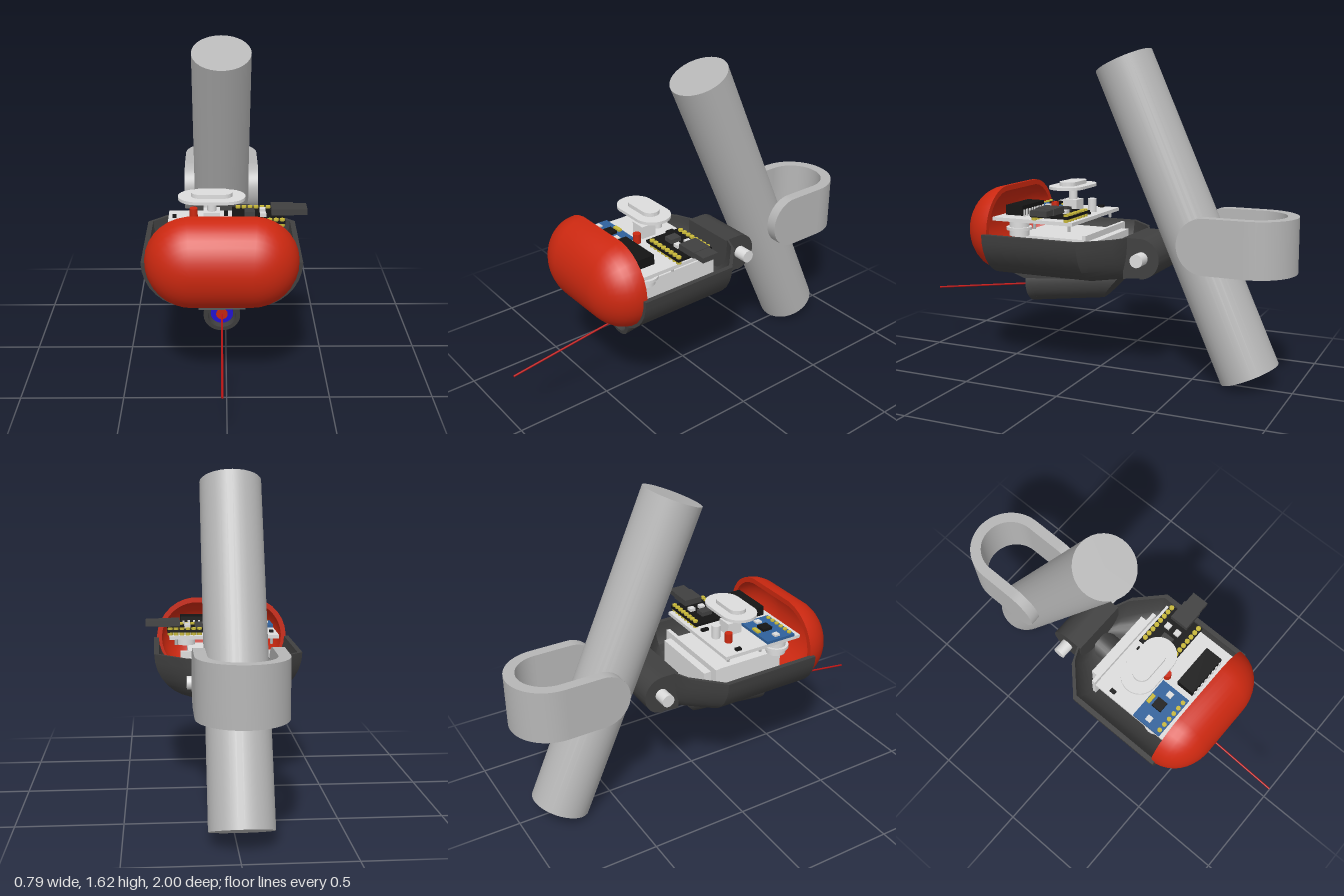
import * as THREE from 'three';
import { toCreasedNormals } from 'three/addons/utils/BufferGeometryUtils.js';

const CX = -0.022; // centre line of the device

const paint = (name, color) => Object.assign(new THREE.MeshStandardMaterial({ color }), { name });

// Skin equal-length loops of points, listed front to back; capPairs closes a trough's two ends
function loft(loops, capTrough = false) {
  const n = loops[0].length, index = [];
  for (let s = 0; s < loops.length - 1; s++) {
    for (let i = 0; i < n; i++) {
      const a = s * n + i, b = s * n + (i + 1) % n, c = b + n, d = a + n;
      index.push(a, d, c, a, c, b);
    }
  }
  if (capTrough) {
    const last = (loops.length - 1) * n;
    for (let i = 0; i < n / 2 - 1; i++) {
      const a = i, b = i + 1, c = n - 2 - i, d = n - 1 - i;
      index.push(a, b, c, a, c, d);
      index.push(last + a, last + c, last + b, last + a, last + d, last + c);
    }
  }
  const g = new THREE.BufferGeometry();
  g.setAttribute('position', new THREE.Float32BufferAttribute(loops.flat(2), 3));
  g.setIndex(index);
  return toCreasedNormals(g, 0.6);
}

// Full stadium outline around the centre line
function stadium(r, z, core = 0.1375, y = 0.72) {
  const pts = [];
  for (let i = 0; i < 32; i++) {
    const a = -Math.PI / 2 + ((i + 0.001) / 31) * Math.PI * 2;
    const side = i < 16 ? 1 : -1;
    pts.push([CX + side * core + r * Math.cos(a), y + r * Math.sin(a), z]);
  }
  return pts;
}

// Open trough section: outer wall left to right, inner wall back again
function trough(w, bottom, z) {
  const arc = (hw, yb) => {
    const pts = [], h = 0.72 - yb, r = Math.min(0.22, hw * 0.7);
    for (const side of [-1, 1]) {
      for (let i = 0; i <= 8; i++) {
        const a = (side < 0 ? i : 8 - i) / 8 * Math.PI / 2;
        pts.push([CX + side * (hw - r + r * Math.cos(a)), 0.72 - h * Math.sin(a), z]);
      }
    }
    return pts;
  };
  return [...arc(w, bottom), ...arc(w - 0.025, bottom + 0.025).reverse()];
}

export function createModel() {
  const root = new THREE.Group();
  root.name = 'poleMountedDevice';
  const grey = paint('grey', 0xb6b6b6), light = paint('lightGrey', 0xdcdcdc);
  const dark = paint('charcoal', 0x404040), black = paint('black', 0x141414);
  const red = paint('red', 0xcc2810), blue = paint('blue', 0x2414d8);
  const boardBlue = paint('boardBlue', 0x2f619c), yellow = paint('yellow', 0xc8b838);
  const beamRed = paint('beamRed', 0xb81414);
  dark.side = THREE.DoubleSide;

  const add = (name, geo, mat, parent = root) => {
    const m = new THREE.Mesh(geo, mat);
    m.name = name;
    parent.add(m);
    return m;
  };
  const box = (name, mat, x0, x1, y0, y1, z0, z1) =>
    add(name, new THREE.BoxGeometry(x1 - x0, y1 - y0, z1 - z0), mat)
      .position.set((x0 + x1) / 2, (y0 + y1) / 2, (z0 + z1) / 2);
  const rod = (name, mat, r, x, y0, y1, z, n = 20) =>
    add(name, new THREE.CylinderGeometry(r, r, y1 - y0, n), mat).position.set(x, (y0 + y1) / 2, z);
  const extrude = (shape, depth) =>
    toCreasedNormals(new THREE.ExtrudeGeometry(shape, { depth, bevelEnabled: false, curveSegments: 16 }), 0.6);
  // Side profile in (-z, y), extruded along x
  const sideExtrude = (name, mat, shape, x0, x1) => {
    add(name, extrude(shape, x1 - x0).rotateY(Math.PI / 2), mat).position.x = x0;
  };

  // Leaning pole
  const pole = add('pole', new THREE.CylinderGeometry(0.149, 0.149, 1.645, 32), grey);
  pole.position.set(CX, 0.821, -0.45);
  pole.rotation.x = 0.4196;

  // U-shaped clamp: half ring and two round-ended arms
  const ring = new THREE.Shape();
  ring.absarc(0, 0, 0.205, 0, Math.PI, false);
  ring.absarc(0, 0, 0.15, Math.PI, 0, true);
  ring.closePath();
  add('clampBend', extrude(ring, 0.27).rotateX(-Math.PI / 2), grey).position.set(CX, 0.58, -0.795);
  const arm = new THREE.Shape();
  arm.moveTo(0.795, 0.58);
  arm.lineTo(0.795, 0.85);
  arm.lineTo(0.605, 0.85);
  arm.absarc(0.605, 0.715, 0.135, Math.PI / 2, Math.PI * 1.5, false);
  arm.closePath();
  sideExtrude('clampArmRight', grey, arm, CX - 0.205, CX - 0.15);
  sideExtrude('clampArmLeft', grey, arm, CX + 0.15, CX + 0.205);

  // Hull trough, tapering at the back
  add('hull', loft([
    trough(0.375, 0.495, 0.49), trough(0.375, 0.495, -0.03),
    trough(0.24, 0.5, -0.16), trough(0.15, 0.51, -0.2),
  ], true), dark);

  // Hinge lug and pin
  const lug = new THREE.Shape();
  lug.moveTo(0.18, 0.515);
  lug.lineTo(0.265, 0.525);
  lug.absarc(0.265, 0.62, 0.1, -Math.PI / 2, Math.PI / 2, false);
  lug.lineTo(0.18, 0.72);
  lug.closePath();
  sideExtrude('hingeLug', dark, lug, CX - 0.15, CX + 0.15);
  const pin = add('hingePin', new THREE.CylinderGeometry(0.033, 0.033, 0.44, 16), light);
  pin.rotation.z = Math.PI / 2;
  pin.position.set(CX, 0.623, -0.275);

  // Hollow domed nose
  const dome = [];
  for (let i = 0; i <= 10; i++) {
    const t = (1 - i / 10) * Math.PI / 2;
    dome.push(stadium(0.222 * Math.cos(t), 0.47 + 0.19 * Math.sin(t)));
  }
  for (let i = 0; i <= 8; i++) {
    const t = (i / 8) * Math.PI / 2;
    dome.push(stadium(0.195 * Math.cos(t), 0.47 + 0.165 * Math.sin(t)));
  }
  add('nose', loft(dome), red);

  // Pointer barrel with a slanted rear end, lens and beam
  const pointer = new THREE.Group();
  pointer.name = 'pointer';
  pointer.position.set(CX, 0.405, 0.403);
  pointer.rotation.x = 0.136;
  root.add(pointer);
  const barrel = new THREE.CylinderGeometry(0.088, 0.088, 1, 28).rotateX(Math.PI / 2);
  const p = barrel.attributes.position;
  for (let i = 0; i < p.count; i++) p.setZ(i, p.getZ(i) > 0 ? -0.04 : -0.51 - p.getY(i) * 1.15);
  add('barrel', toCreasedNormals(barrel, 0.6), dark, pointer);
  const lip = new THREE.Shape().absarc(0, 0, 0.088, 0, Math.PI * 2);
  lip.holes.push(new THREE.Path().absarc(0, 0, 0.068, 0, Math.PI * 2, true));
  add('barrelLip', extrude(lip, 0.04), dark, pointer).position.z = -0.04;
  const disc = (name, r, z0, z1, mat) =>
    add(name, new THREE.CylinderGeometry(r, r, z1 - z0, 20).rotateX(Math.PI / 2), mat, pointer)
      .position.z = (z0 + z1) / 2;
  disc('lensHousing', 0.054, -0.06, -0.015, blue);
  disc('lens', 0.028, -0.03, -0.008, red);
  disc('beam', 0.005, -0.02, 0.602, beamRed);
  const web = new THREE.Shape([[-0.53, 0.5], [-0.4, 0.455], [0.05, 0.49], [0.05, 0.515], [-0.5, 0.515]]
    .map(([u, v]) => new THREE.Vector2(u, v)));
  sideExtrude('barrelWeb', dark, web, CX - 0.11, CX + 0.11);

  // Battery and holder inside the hull
  box('battery', light, -0.22, 0.175, 0.55, 0.7, -0.06, 0.4);
  box('batteryPlate', light, -0.265, 0.22, 0.56, 0.73, -0.02, 0);

  // Main circuit board on stand-offs
  box('mainBoard', light, -0.285, 0.275, 0.782, 0.8, 0.025, 0.47);
  for (const x of [-0.22, 0.18]) {
    rod('standOff', light, 0.05, x, 0.7, 0.785, 0.37);
    rod('standOffFlange', light, 0.065, x, 0.73, 0.745, 0.37);
  }
  for (const x of [-0.25, 0.24]) for (const z of [0.06, 0.25]) rod('boardLeg', grey, 0.008, x, 0.75, 0.785, z, 8);

  // Sensor board with chip and contacts
  box('sensorBoard', boardBlue, -0.285, -0.05, 0.8, 0.815, 0.27, 0.435);
  box('sensorChip', black, -0.19, -0.135, 0.815, 0.83, 0.31, 0.365);
  for (let i = 0; i < 6; i++) rod('sensorContact', yellow, 0.012, -0.26 + i * 0.036, 0.81, 0.822, 0.42, 8);
  box('sensorTerminal', yellow, -0.19, -0.14, 0.8, 0.825, 0.275, 0.295);
  for (const x of [-0.25, -0.09]) box('sensorPart', light, x - 0.015, x + 0.015, 0.815, 0.825, 0.33, 0.36);

  // Driver chip with two rows of legs
  box('driverChip', black, -0.02, 0.21, 0.805, 0.855, 0.335, 0.43);
  for (let i = 0; i < 8; i++) {
    for (const z of [0.333, 0.432]) {
      box('chipLeg', light, i * 0.028 - 0.008, i * 0.028 + 0.004, 0.8, 0.835, z - 0.004, z + 0.004);
    }
  }

  // Controller board with pin rows and parts
  box('controllerBoard', black, 0.03, 0.285, 0.815, 0.828, 0.045, 0.25);
  for (let i = 0; i < 8; i++) {
    for (const z of [0.06, 0.235]) rod('controllerPin', yellow, 0.013, 0.06 + i * 0.03, 0.8, 0.838, z, 8);
  }
  box('controllerChip', dark, 0.09, 0.14, 0.828, 0.85, 0.12, 0.18);
  for (const z of [0.11, 0.17]) box('controllerButton', light, 0.165, 0.195, 0.828, 0.845, z - 0.015, z + 0.015);
  box('cablePlug', dark, 0.22, 0.33, 0.838, 0.87, 0.095, 0.195);
  box('cableEnd', dark, 0.33, 0.395, 0.84, 0.867, 0.1, 0.19);

  // Small board parts
  rod('indicatorLamp', red, 0.02, -0.16, 0.8, 0.85, 0.12, 12);
  rod('indicatorLamp', red, 0.02, -0.02, 0.8, 0.85, 0.27, 12);
  rod('capacitor', light, 0.022, -0.09, 0.8, 0.87, 0.09, 14);
  box('resistor', black, -0.265, -0.245, 0.8, 0.812, 0.1, 0.13);
  box('resistor', black, -0.01, 0.01, 0.8, 0.812, 0.06, 0.1);

  // Pill-shaped push button on a stem
  const pill = (name, hw, r, y0, y1) => {
    const s = new THREE.Shape();
    s.absarc(hw - r, 0, r, -Math.PI / 2, Math.PI / 2, false);
    s.absarc(r - hw, 0, r, Math.PI / 2, Math.PI * 1.5, false);
    s.closePath();
    add(name, extrude(s, y1 - y0).rotateX(-Math.PI / 2), light).position.set(-0.07, y0, 0.19);
  };
  pill('buttonPlate', 0.163, 0.092, 0.925, 0.94);
  pill('buttonTop', 0.1, 0.045, 0.94, 0.96);
  rod('buttonStem', light, 0.022, -0.07, 0.86, 0.925, 0.19);
  box('buttonBase', light, -0.11, -0.03, 0.8, 0.865, 0.15, 0.23);

  return root;
}
